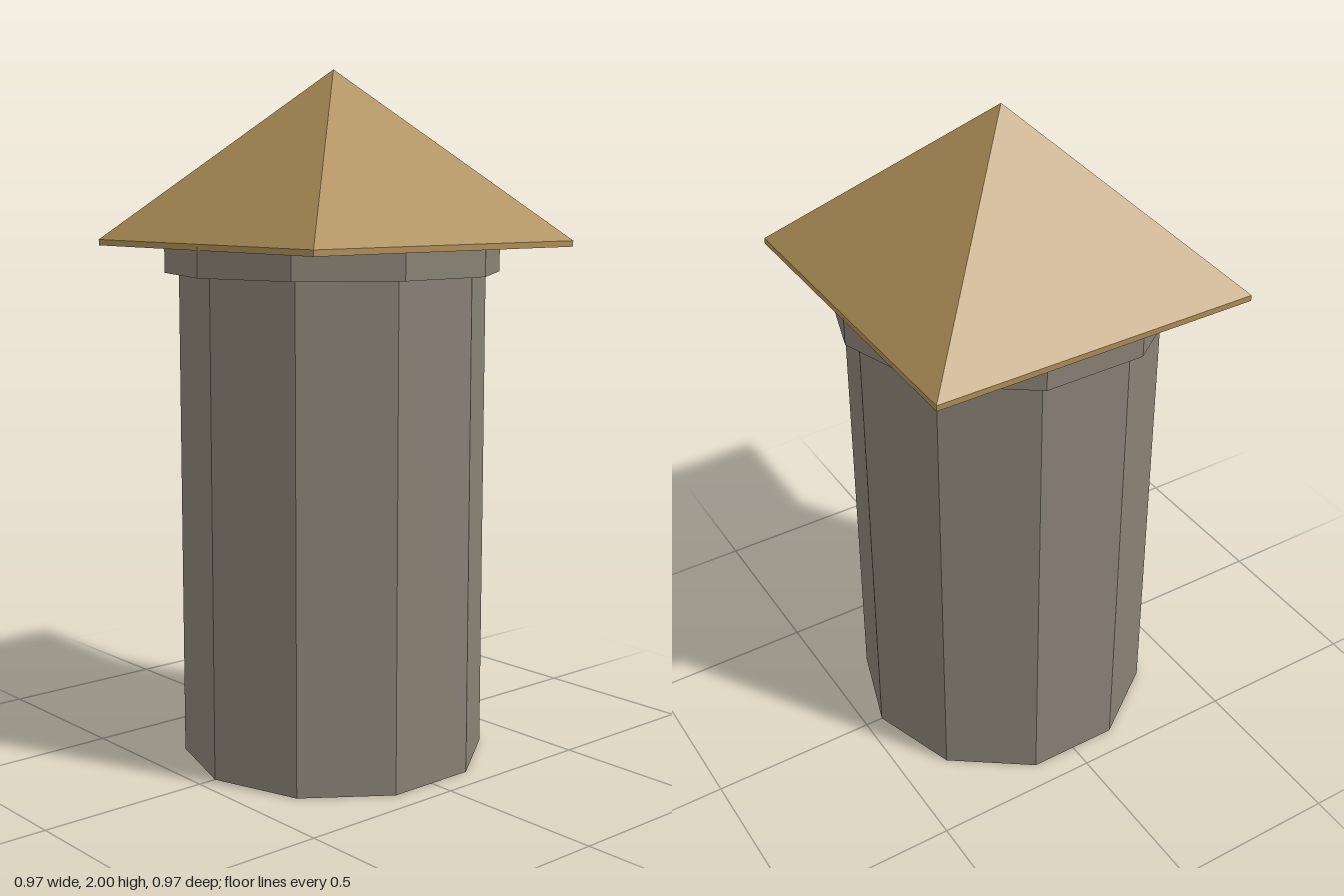
import * as THREE from 'three';

export function createModel() {
  const stone = new THREE.MeshStandardMaterial({ color: 0x8a8174, flatShading: true, side: THREE.DoubleSide });
  stone.name = 'stone';
  const thatch = new THREE.MeshStandardMaterial({ color: 0xac8d56, flatShading: true });
  thatch.name = 'roofTan';

  const SIDES = 10;
  const SHAFT_R = 0.446, COLLAR_R = 0.487, ROOF_HALF = 0.486;
  const COLLAR_Y = 1.425, COLLAR_TOP = 1.51, EAVE_Y = 1.5, EAVE_TOP = 1.517;

  const model = new THREE.Group();
  model.name = 'tower';
  const add = (name, geometry, material, y = 0) => {
    const mesh = new THREE.Mesh(geometry, material);
    mesh.name = name;
    mesh.position.y = y;
    model.add(mesh);
  };

  // Ten-sided open shell from [radius, height] points, with a corner on +x
  const shell = (points) => new THREE.LatheGeometry(
    points.map(([r, y]) => new THREE.Vector2(r, y)), SIDES, Math.PI / 2);

  // Hollow shaft, open at the bottom
  add('shaft', shell([[SHAFT_R, 0], [SHAFT_R, COLLAR_Y]]), stone);

  // Projecting collar with its underside ledge
  add('collar', shell([[SHAFT_R, COLLAR_Y], [COLLAR_R, COLLAR_Y], [COLLAR_R, COLLAR_TOP]]), stone);

  // Thin square eave under the roof
  add('eave', new THREE.BoxGeometry(ROOF_HALF * 2, EAVE_TOP - EAVE_Y, ROOF_HALF * 2),
    thatch, (EAVE_Y + EAVE_TOP) / 2);

  // Pyramid roof
  const roofHeight = 2 - EAVE_TOP;
  add('roof', new THREE.ConeGeometry(ROOF_HALF * Math.SQRT2, roofHeight, 4, 1, true, Math.PI / 4),
    thatch, EAVE_TOP + roofHeight / 2);

  return model;
}
